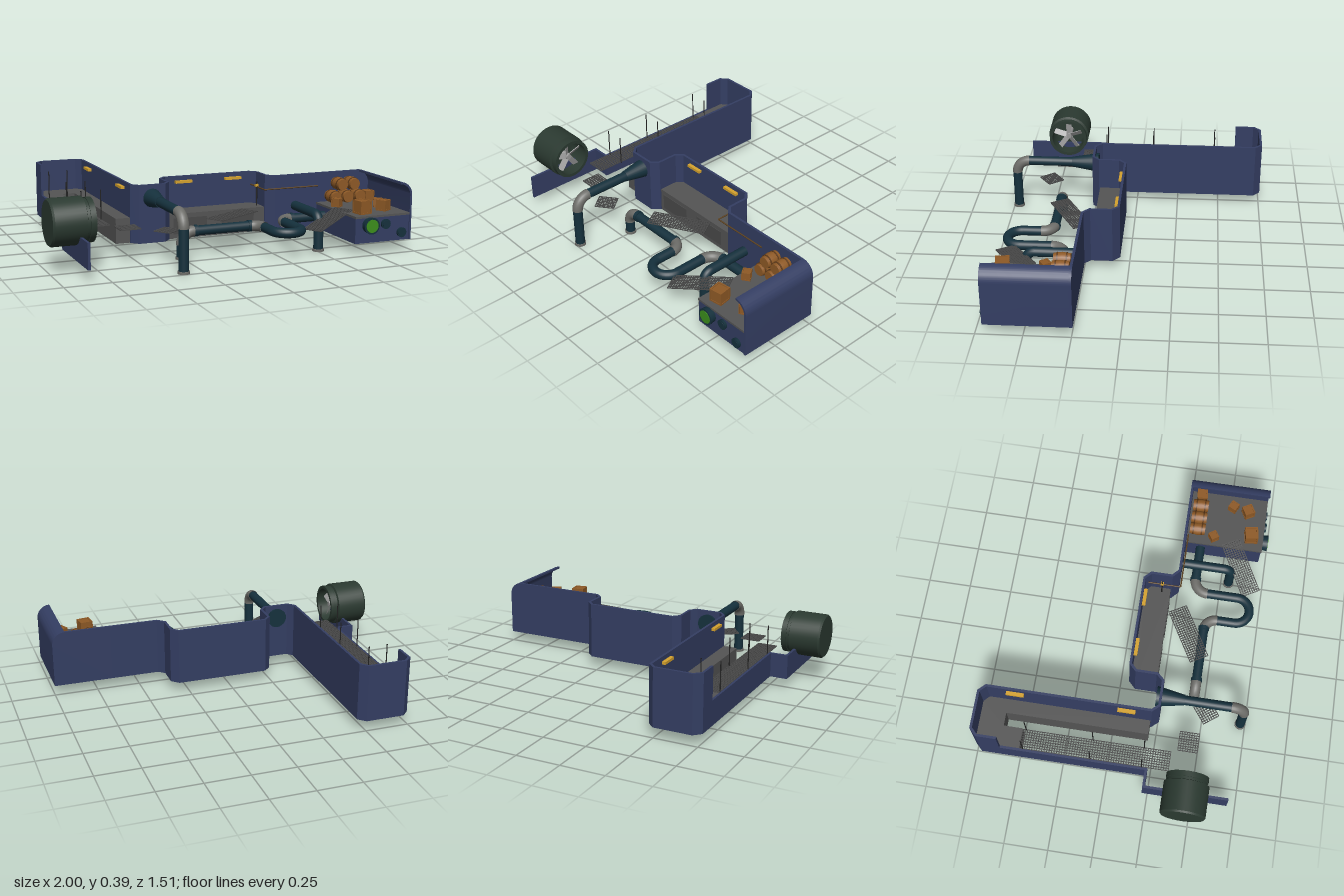
import * as THREE from 'three';
import { mergeGeometries, toCreasedNormals } from 'three/addons/utils/BufferGeometryUtils.js';

const V = (x, y, z) => new THREE.Vector3(x, y, z);
const mat = (color) => new THREE.MeshStandardMaterial({ color, side: THREE.DoubleSide });
const M = {
  wall: mat(0x343e63), ledge: mat(0x555555), pipe: mat(0x15313d), elbow: mat(0x6e6e6a),
  fan: mat(0x2b3a31), dark: mat(0x222222), grate: mat(0x4a4a4a), wood: mat(0x8f5a26),
  frame: mat(0x5f3a18), yellow: mat(0xd6a32e), green: mat(0x3c8f1c), steel: mat(0x9a9a9a), rust: mat(0x5a4020),
};

export function createModel() {
  const root = new THREE.Group();
  const add = (name, geo, material, parent = root) => {
    const m = new THREE.Mesh(geo, material);
    m.name = name;
    parent.add(m);
    return m;
  };
  const group = (name, x = 0, y = 0, z = 0) => {
    const g = new THREE.Group();
    g.name = name;
    g.position.set(x, y, z);
    root.add(g);
    return g;
  };
  // Box given by its limits
  const box = (name, x0, x1, y0, y1, z0, z1, material, parent) => {
    const m = add(name, new THREE.BoxGeometry(x1 - x0, y1 - y0, z1 - z0), material, parent);
    m.position.set((x0 + x1) / 2, (y0 + y1) / 2, (z0 + z1) / 2);
    return m;
  };
  // Plan outline of [x, z] points raised from y0 to y1
  const slab = (name, pts, y0, y1, material) => {
    const shape = new THREE.Shape(pts.map(([x, z]) => new THREE.Vector2(x, -z)));
    const g = new THREE.ExtrudeGeometry(shape, { depth: y1 - y0, bevelEnabled: false });
    return add(name, g.rotateX(-Math.PI / 2).translate(0, y0, 0), material);
  };
  // Wall of constant thickness along a plan path, with mitred corners
  const wall = (name, path, y0, y1, t = 0.014) => {
    const normals = path.slice(1).map(([x, z], i) => {
      const dx = x - path[i][0], dz = z - path[i][1], l = Math.hypot(dx, dz);
      return [-dz / l, dx / l];
    });
    const inner = path.map(([x, z], i) => {
      const a = normals[Math.max(i - 1, 0)], b = normals[Math.min(i, normals.length - 1)];
      const k = t / (1 + a[0] * b[0] + a[1] * b[1]);
      return [x + (a[0] + b[0]) * k, z + (a[1] + b[1]) * k];
    });
    return slab(name, [...path, ...inner.reverse()], y0, y1, M.wall);
  };
  const cylinder = (name, a, b, r0, r1, material, parent) => {
    const d = b.clone().sub(a);
    const m = add(name, new THREE.CylinderGeometry(r1, r0, d.length(), 24), material, parent);
    m.position.copy(a).add(b).multiplyScalar(0.5);
    m.quaternion.setFromUnitVectors(V(0, 1, 0), d.normalize());
    return m;
  };

  // Walls
  const low = 0.06, deck = 0.2, top = 0.385;
  wall('lowWall', [[-0.86, 0.7], [-0.86, 0.22], [-0.76, 0.22], [-0.76, -0.6]], low, deck);
  wall('tallWall', [[-0.76, -0.6], [-0.76, -0.715], [-0.72, -0.755], [-0.5, -0.755], [-0.46, -0.715],
    [-0.46, 0.21], [-0.43, 0.243], [-0.29, 0.243], [-0.26, 0.21], [-0.26, 0.09], [-0.22, 0.05],
    [0.31, 0.05], [0.35, 0.09], [0.35, 0.21], [0.385, 0.243], [0.66, 0.243]], low, top);

  // Ledges behind the walls
  slab('corridorLedge', [[-0.747, -0.49], [-0.747, -0.71], [-0.715, -0.742], [-0.505, -0.742], [-0.473, -0.71],
    [-0.473, 0.21], [-0.555, 0.21], [-0.555, -0.6], [-0.63, -0.6], [-0.63, -0.49]], low, deck, M.ledge);
  slab('alcoveLedge', [[-0.247, 0.21], [-0.247, 0.095], [-0.215, 0.063], [0.305, 0.063], [0.337, 0.095],
    [0.337, 0.21]], low, deck, M.ledge);
  for (const x of [-0.12, 0.17]) box('ledgePanel', x - 0.1, x + 0.1, 0.085, 0.175, 0.21, 0.214, M.grate);

  // Cargo platform with rounded outer wall
  box('platformBody', 0.65, 0.99, low, deck, 0.25, 0.705, M.wall);
  box('platformDeck', 0.648, 0.99, deck, 0.212, 0.25, 0.71, M.ledge);
  const roundedEnd = (s) => s.lineTo(1, 0.31).absarc(0.925, 0.31, 0.075, 0, Math.PI / 2, false);
  const back = new THREE.Shape().moveTo(0.65, low).lineTo(1, low);
  roundedEnd(back).lineTo(0.65, top);
  add('platformBackWall', new THREE.ExtrudeGeometry(back, { depth: 0.014, bevelEnabled: false }).translate(0, 0, 0.243), M.wall);
  const shell = new THREE.Shape().moveTo(0.988, low).lineTo(1, low);
  roundedEnd(shell).lineTo(0.925, 0.373).absarc(0.925, 0.31, 0.063, Math.PI / 2, 0, true).lineTo(0.988, low);
  const shellGeo = new THREE.ExtrudeGeometry(shell, { depth: 0.465, bevelEnabled: false }).translate(0, 0, 0.245);
  add('platformCurvedWall', toCreasedNormals(shellGeo, 0.5), M.wall);

  // Round ports on the platform front
  for (const [x, y, r, z, core] of [[0.735, 0.16, 0.047, 0.74, M.green], [0.835, 0.16, 0.028, 0.72, M.pipe], [0.937, 0.105, 0.028, 0.72, M.pipe]]) {
    const g = group('port');
    cylinder('portRim', V(x, y, 0.7), V(x, y, z), r * 0.9, r, M.pipe, g);
    cylinder('portGlass', V(x, y, z - 0.01), V(x, y, z + 0.003), r * 0.78, r * 0.78, core, g);
  }

  // Light strips
  for (const x of [-0.105, 0.2]) box('lightStrip', x - 0.05, x + 0.05, 0.345, 0.36, 0.064, 0.084, M.yellow);
  for (const z of [-0.55, 0.075]) box('lightStrip', -0.495, -0.474, 0.345, 0.36, z - 0.05, z + 0.05, M.yellow);

  // Pipe runs: straight pieces joined by elbows; each corner is [point, bend radius, material]
  const pipeRun = (name, start, corners, end, r = 0.027) => {
    const g = group(name);
    let from = start;
    corners.forEach(([p, bend, material], i) => {
      const next = i + 1 < corners.length ? corners[i + 1][0] : end;
      const u = p.clone().sub(from).normalize(), w = next.clone().sub(p).normalize();
      const a = p.clone().addScaledVector(u, -bend), b = p.clone().addScaledVector(w, bend);
      if (a.distanceTo(from) > 0.005) cylinder('pipeStraight', from, a, r, r, M.pipe, g);
      const c1 = a.clone().addScaledVector(u, bend * 0.552), c2 = b.clone().addScaledVector(w, -bend * 0.552);
      const swell = material === M.elbow ? 0.003 : 0;
      add('pipeElbow', new THREE.TubeGeometry(new THREE.CubicBezierCurve3(a, c1, c2, b), 10, r + swell, 20), material, g);
      from = b;
    });
    cylinder('pipeStraight', from, end, r, r, M.pipe, g);
    const foot = start.y < end.y ? start : end;
    if (foot.y < 0.05) cylinder('pipeFoot', V(foot.x, 0, foot.z), V(foot.x, 0.014, foot.z), 0.032, 0.032, M.elbow, g);
    return g;
  };
  const tall = pipeRun('tallPipe', V(-0.36, 0.31, 0.37), [[V(-0.36, 0.31, 0.722), 0.075, M.elbow]], V(-0.36, 0.005, 0.722));
  cylinder('pipeFunnel', V(-0.36, 0.31, 0.225), V(-0.36, 0.31, 0.385), 0.057, 0.03, M.pipe, tall);
  const winding = pipeRun('windingPipe', V(-0.26, 0.005, 0.435), [
    [V(-0.26, 0.15, 0.435), 0.07, M.elbow], [V(0.2, 0.15, 0.435), 0.07, M.elbow],
    [V(0.2, 0.15, 0.685), 0.08, M.pipe], [V(0.36, 0.15, 0.685), 0.08, M.pipe],
    [V(0.36, 0.15, 0.347), 0.08, M.elbow]], V(0.66, 0.15, 0.347));
  for (const x of [-0.18, 0.14, 0.44]) {
    const z = x > 0.3 ? 0.347 : 0.435;
    cylinder('pipeCollar', V(x - 0.01, 0.15, z), V(x + 0.01, 0.15, z), 0.032, 0.032, M.pipe, winding);
  }
  pipeRun('shortPipe', V(0.51, 0.203, 0.25), [[V(0.51, 0.203, 0.545), 0.045, M.pipe]], V(0.51, 0.005, 0.545));

  // Fan housing, open towards the inside
  const fan = group('fan', -1, 0.265, 0.46);
  const profile = [[0, 0], [0.118, 0], [0.126, 0.01], [0.126, 0.18], [0.113, 0.185], [0.113, 0.2], [0.118, 0.2],
    [0.118, 0.23], [0.1, 0.23], [0.1, 0.09], [0, 0.09]].map(([r, h]) => new THREE.Vector2(r, h));
  add('fanHousing', toCreasedNormals(new THREE.LatheGeometry(profile, 36), 0.6), M.fan, fan).rotation.z = -Math.PI / 2;
  cylinder('fanHub', V(0.09, 0, 0), V(0.2, 0, 0), 0.02, 0.016, M.steel, fan);
  for (let i = 0; i < 5; i++) {
    const g = new THREE.BoxGeometry(0.004, 0.085, 0.035).rotateY(0.6).translate(0.18, 0.052, 0);
    add('fanBlade', g.rotateX((i * Math.PI * 2) / 5), M.steel, fan);
  }

  // Open grating panels
  const grating = (name, x, y, z, l, w, yaw = 0, tilt = 0) => {
    const parts = [];
    const bars = (n, span, make) => { for (let i = 0; i <= n; i++) parts.push(make(-span / 2 + (span * i) / n)); };
    bars(Math.round(l / 0.014), l, (p) => new THREE.BoxGeometry(0.004, 0.005, w).translate(p, 0, 0));
    bars(Math.round(w / 0.014), w, (p) => new THREE.BoxGeometry(l, 0.005, 0.004).translate(0, 0, p));
    const m = add(name, mergeGeometries(parts), M.grate);
    m.position.set(x, y, z);
    m.rotation.set(0, yaw, tilt, 'YXZ');
  };
  grating('walkway', -0.69, 0.2, -0.07, 0.84, 0.11, Math.PI / 2);
  grating('smallGrating', -0.565, 0.2, 0.44, 0.11, 0.11);
  grating('turnedGrating', -0.37, 0.185, 0.515, 0.11, 0.1, 0.65);
  grating('longGrating', 0.075, 0.2, 0.35, 0.33, 0.11, 0.52);
  grating('rampGrating', 0.54, 0.187, 0.6, 0.33, 0.11, 0.52, 0.2);

  // Walkway posts
  for (const x of [-0.745, -0.635]) for (const z of [-0.47, -0.09, 0.2])
    cylinder('walkwayPost', V(x, 0.19, z), V(x, 0.365, z), 0.003, 0.003, M.dark);

  // Thin conduit with its post
  const conduit = group('conduit');
  const bends = [V(0.312, 0.31, 0.08), V(0.312, 0.31, 0.267), V(0.65, 0.31, 0.267)];
  for (let i = 0; i < 2; i++) cylinder('conduitRod', bends[i], bends[i + 1], 0.004, 0.004, M.rust, conduit);
  cylinder('conduitPost', V(0.312, 0.2, 0.16), V(0.312, 0.34, 0.16), 0.004, 0.004, M.dark, conduit);
  box('conduitValve', 0.303, 0.321, 0.31, 0.325, 0.152, 0.168, M.yellow, conduit);

  // Crates with framed edges
  const crate = (x, z, s, yaw) => {
    const g = group('crate', x, 0.212 + s / 2, z);
    g.rotation.y = yaw;
    add('crateBody', new THREE.BoxGeometry(s * 0.92, s * 0.92, s * 0.92), M.wood, g);
    const e = s * 0.44, t = s * 0.12, bars = [];
    for (const a of [-e, e]) for (const b of [-e, e]) bars.push(
      new THREE.BoxGeometry(s, t, t).translate(0, a, b),
      new THREE.BoxGeometry(t, s, t).translate(a, 0, b),
      new THREE.BoxGeometry(t, t, s).translate(a, b, 0));
    add('crateFrame', mergeGeometries(bars), M.wood, g);
  };
  crate(0.73, 0.635, 0.075, 0.15);
  crate(0.695, 0.415, 0.048, 0.6);
  crate(0.885, 0.6, 0.06, 0.5);
  crate(0.905, 0.51, 0.05, 1.1);
  crate(0.95, 0.315, 0.06, 0.1);

  // Stacked barrels
  for (const [x, y] of [[0.725, 0.25], [0.803, 0.25], [0.881, 0.25], [0.764, 0.322], [0.842, 0.322]]) {
    const g = group('barrel', x, y, 0.315);
    const pts = [[0, -0.045], [0.032, -0.045], [0.038, 0], [0.032, 0.045], [0, 0.045]].map(([r, h]) => new THREE.Vector2(r, h));
    add('barrelBody', toCreasedNormals(new THREE.LatheGeometry(pts, 16), 0.6), M.wood, g).rotation.x = Math.PI / 2;
    for (const z of [-0.025, 0.025]) cylinder('barrelHoop', V(0, 0, z - 0.004), V(0, 0, z + 0.004), 0.0365, 0.0365, M.frame, g);
  }
  return root;
}
